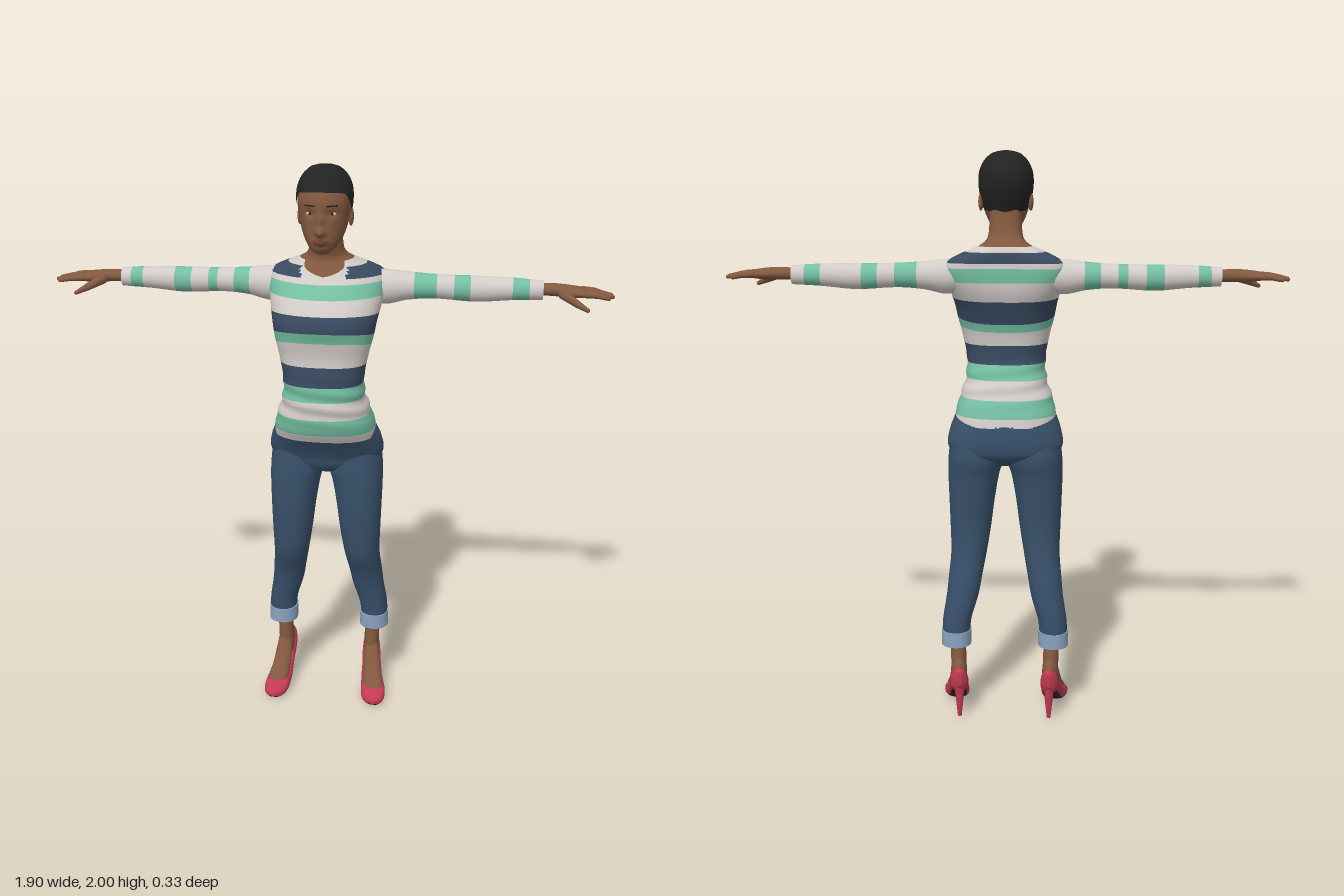
import * as THREE from 'three';

const COLORS = {
  skin: 0x83593f, lips: 0x6b4036, hair: 0x232323, knitWhite: 0xd2ccc8, knitMint: 0x74bfa3,
  knitNavy: 0x3a4a61, denim: 0x38506a, cuffBlue: 0x8aa5c0, shoeRed: 0xc23a52, soleBlack: 0x2a2a2c,
};
const M = {};
for (const [name, color] of Object.entries(COLORS)) {
  M[name] = new THREE.MeshStandardMaterial({ color });
  M[name].name = name;
}
const gauss = (d, s) => Math.exp(-((d / s) ** 2));

// Smooth interpolation of cross-section keys [t, centre, radius, low, high]
function sectionAt(keys, t) {
  const n = keys.length - 1;
  t = Math.min(Math.max(t, keys[0][0]), keys[n][0]);
  let i = 0;
  while (i < n - 1 && t > keys[i + 1][0]) i++;
  const slope = (k, j) => {
    const a = keys[Math.max(k - 1, 0)], b = keys[Math.min(k + 1, n)];
    return (b[j] - a[j]) / (b[0] - a[0]);
  };
  const h = keys[i + 1][0] - keys[i][0], u = (t - keys[i][0]) / h;
  return [1, 2, 3, 4].map((j) => {
    const p = keys[i][j], q = keys[i + 1][j];
    return p + (q - p) * u * u * (3 - 2 * u) + h * u * (1 - u) * ((1 - u) * slope(i, j) - u * slope(i + 1, j));
  });
}

// Loft of superellipse sections along an axis; color(t, x, y, z, angle) picks each face's material
function loft(name, keys, color, o = {}) {
  const { axis = 'y', segs = 40, p = 1, step = 0.02, edges = [], side = 1, grow = 0, remap, warp } = o;
  const t0 = o.from ?? keys[0][0], t1 = o.to ?? keys[keys.length - 1][0];
  const rows = [t0, t1, ...edges, ...(o.rows ?? [])];
  for (let t = t0 + step; t < t1 - step * 0.3; t += step) {
    if (!edges.some((e) => Math.abs(e - t) < step * 0.3)) rows.push(t);
  }
  rows.sort((a, b) => a - b);
  const pw = (v) => Math.sign(v) * Math.abs(v) ** p;
  const pos = [];
  const point = (row, j) => {
    const a = (j / segs) * Math.PI * 2;
    const t = remap ? remap(a, row) : row;
    const [c, r, lo, hi] = sectionAt(keys, t);
    const u = c + (r + grow) * pw(Math.cos(a));
    const v = (lo + hi) / 2 + ((hi - lo) / 2 + grow) * pw(Math.sin(a));
    const q = axis === 'y' ? [u, t, v] : axis === 'x' ? [t, v, u] : [u, v, t];
    if (warp) warp(q, a);
    q[0] *= side;
    return q;
  };
  for (const row of rows) for (let j = 0; j < segs; j++) pos.push(...point(row, j));
  const flip = (axis !== 'z') !== (side < 0);
  const buckets = {};
  const tri = (m, a, b, c) => (buckets[m] ??= []).push(...(flip ? [a, c, b] : [a, b, c]));
  const pick = (i, j) => {
    if (typeof color === 'string') return color;
    const t = (rows[i] + rows[i + 1]) / 2;
    return color(t, ...point(t, j + 0.5), ((j + 0.5) / segs) * Math.PI * 2);
  };
  for (let i = 0; i < rows.length - 1; i++) for (let j = 0; j < segs; j++) {
    const k = (j + 1) % segs, a = i * segs + j, b = i * segs + k, m = pick(i, j);
    tri(m, a, b, b + segs);
    tri(m, a, b + segs, a + segs);
  }
  // flat end caps
  if (!remap) for (const i of [0, rows.length - 1]) {
    const base = pos.length / 3, mid = [0, 0, 0], m = pick(i ? i - 1 : 0, 0);
    for (let j = 0; j < segs; j++) {
      const q = point(rows[i], j);
      pos.push(...q);
      q.forEach((v, k) => { mid[k] += v / segs; });
    }
    pos.push(...mid);
    for (let j = 0; j < segs; j++) {
      const a = base + j, b = base + ((j + 1) % segs);
      if (i) tri(m, a, b, base + segs); else tri(m, b, a, base + segs);
    }
  }
  const g = new THREE.BufferGeometry(), index = [], mats = [];
  for (const [m, list] of Object.entries(buckets)) {
    g.addGroup(index.length, list.length, mats.length);
    mats.push(M[m]);
    for (const v of list) index.push(v);
  }
  g.setAttribute('position', new THREE.Float32BufferAttribute(pos, 3));
  g.setIndex(index);
  g.computeVertexNormals();
  const mesh = new THREE.Mesh(g, mats.length === 1 ? mats[0] : mats);
  mesh.name = name;
  return mesh;
}

// Tapered rounded rod between two points
function rod(name, a, b, r0, r1, mat) {
  const A = new THREE.Vector3(...a), d = new THREE.Vector3(...b).sub(A), len = d.length();
  const g = new THREE.CapsuleGeometry(1, 1, 5, 12);
  const P = g.attributes.position;
  for (let i = 0; i < P.count; i++) {
    const y = P.getY(i), r = y > 0 ? r1 : r0;
    P.setXYZ(i, P.getX(i) * r, y > 0 ? len + (y - 0.5) * r : (y + 0.5) * r, P.getZ(i) * r);
  }
  g.computeVertexNormals();
  const mesh = new THREE.Mesh(g, mat);
  mesh.quaternion.setFromUnitVectors(new THREE.Vector3(0, 1, 0), d.normalize());
  mesh.position.copy(A);
  mesh.name = name;
  return mesh;
}

function blob(name, x, y, z, sx, sy, sz, mat) {
  const mesh = new THREE.Mesh(new THREE.SphereGeometry(1, 20, 14), mat);
  mesh.position.set(x, y, z);
  mesh.scale.set(sx, sy, sz);
  mesh.name = name;
  return mesh;
}

const TORSO = [
  [1.08, 0, .178, -.145, .118], [1.12, 0, .174, -.135, .14], [1.17, 0, .16, -.115, .15], [1.23, 0, .141, -.09, .152],
  [1.3, 0, .138, -.064, .15], [1.38, 0, .152, -.067, .143], [1.44, 0, .167, -.082, .152], [1.49, 0, .176, -.1, .165],
  [1.54, 0, .188, -.117, .145], [1.6, 0, .2, -.122, .1], [1.64, 0, .193, -.12, .066], [1.665, 0, .15, -.118, .05],
  [1.685, 0, .1, -.112, .038], [1.705, 0, .07, -.095, .036], [1.73, 0, .06, -.08, .045], [1.79, 0, .057, -.065, .045],
  [1.84, 0, .055, -.06, .04]];
const HEAD = [
  [1.725, 0, .02, .04, .1], [1.735, 0, .036, .02, .114], [1.755, 0, .053, -.02, .122], [1.78, 0, .066, -.045, .122],
  [1.81, 0, .076, -.06, .12], [1.85, 0, .084, -.077, .119], [1.89, 0, .089, -.088, .12], [1.93, 0, .086, -.087, .108],
  [1.96, 0, .073, -.072, .086], [1.98, 0, .054, -.05, .062], [1.992, 0, .032, -.026, .037], [1.997, 0, .001, .004, .006]];
const LEG = [
  [.3, .175, .05, -.148, -.04], [.36, .172, .051, -.149, -.035], [.45, .152, .057, -.14, -.02], [.52, .142, .06, -.128, 0],
  [.6, .131, .064, -.112, .035], [.7, .124, .073, -.106, .05], [.8, .119, .081, -.115, .058], [.9, .111, .091, -.127, .06],
  [.96, .1, .1, -.14, .058], [1.04, .1, .09, -.13, .05]];
const HIPS = [
  [.925, 0, .02, -.06, 0], [.94, 0, .07, -.1, .035], [.97, 0, .17, -.14, .055], [1, 0, .2, -.15, .063],
  [1.05, 0, .196, -.15, .09], [1.1, 0, .178, -.139, .12], [1.15, 0, .155, -.11, .135]];
const SLEEVE = [
  [.13, -.06, .05, 1.54, 1.65], [.2, -.062, .056, 1.53, 1.648], [.27, -.068, .048, 1.545, 1.64], [.36, -.07, .042, 1.552, 1.634],
  [.5, -.072, .041, 1.545, 1.632], [.62, -.07, .036, 1.555, 1.63], [.72, -.068, .031, 1.56, 1.624]];
const HAND = [
  [.7, -.068, .024, 1.575, 1.615], [.76, -.064, .026, 1.575, 1.617], [.8, -.057, .037, 1.573, 1.615],
  [.85, -.052, .045, 1.578, 1.608], [.87, -.052, .04, 1.583, 1.603]];
const ANKLE = [[.12, .166, .028, -.145, -.055], [.2, .167, .028, -.135, -.063], [.27, .169, .028, -.122, -.066], [.33, .17, .032, -.125, -.065]];
const FOOT = [
  [-.155, .163, .008, .13, .19], [-.13, .165, .027, .12, .22], [-.07, .169, .029, .1, .19], [-.03, .176, .033, .05, .122],
  [.01, .184, .035, .03, .078], [.035, .187, .02, .03, .046]];
const SHOE = [
  [-.168, .16, .008, .13, .18], [-.155, .162, .026, .105, .192], [-.12, .165, .034, .085, .165], [-.08, .17, .036, .06, .12],
  [-.04, .175, .04, .025, .085], [0, .183, .045, 0, .065], [.04, .187, .044, 0, .046], [.07, .19, .03, 0, .035], [.08, .192, .006, .008, .022]];

const CHEST_BANDS = [[1.11, 1.17, 'knitMint'], [1.233, 1.286, 'knitMint'], [1.286, 1.355, 'knitNavy'], [1.44, 1.476, 'knitMint'],
  [1.476, 1.53, 'knitNavy'], [1.577, 1.62, 'knitMint'], [1.637, 1.672, 'knitNavy']];
const SLEEVE_BANDS = {
  1: [[.294, .369], [.427, .481], [.62, .675]],
  '-1': [[.266, .32], [.378, .41], [.471, .53], [.643, .685]],
};

// shoulders drawn back, soft folds at the waist
const torsoWarp = (q, a) => {
  const k = THREE.MathUtils.smoothstep(q[1], 1.4, 1.6);
  q[2] -= 0.05 * k * (q[0] / 0.2) ** 2;
  const fold = 0.004 * gauss(q[1] - 1.22, 0.07) * Math.sin(q[1] * 110 + 2 * Math.cos(a));
  q[0] += fold * Math.cos(a);
  q[2] += fold * Math.sin(a);
};
// face relief: nose, bridge, lips, chin, eye sockets
const faceRelief = (x, y) => 0.034 * gauss(x, .013) * gauss(y - 1.8, .012) + 0.012 * gauss(x, .01) * gauss(y - 1.835, .022)
  + 0.012 * gauss(x, .021) * gauss(y - 1.768, .011) + 0.004 * gauss(x, .02) * gauss(y - 1.745, .01)
  - 0.008 * gauss(Math.abs(x) - .036, .016) * gauss(y - 1.857, .011);
const faceZ = (x, y) => {
  const [, r, lo, hi] = sectionAt(HEAD, y);
  return (lo + hi) / 2 + ((hi - lo) / 2) * Math.sqrt(1 - (x / r) ** 2) + faceRelief(x, y);
};
// hairline height from nape (-1) to forehead (1)
const HAIRLINE = [[-1, 1.8], [-.5, 1.805], [-.2, 1.82], [.05, 1.85], [.35, 1.885], [.6, 1.918], [1.01, 1.925]];
const hairline = (a) => {
  const s = Math.sin(a), i = Math.max(1, HAIRLINE.findIndex((k) => k[0] >= s));
  const [p, q] = [HAIRLINE[i - 1], HAIRLINE[i]];
  return THREE.MathUtils.mapLinear(s, p[0], q[0], p[1], q[1]);
};

export function createModel() {
  const model = new THREE.Group();
  model.name = 'woman';

  // Sweater body with neckline and stripes
  model.add(loft('sweaterBody', TORSO, (t, x, y, z, a) => {
    const band = CHEST_BANDS.find((b) => t > b[0] && t < b[1]);
    if (!band || (t > 1.63 && Math.sin(a) > 0 && Math.abs(x) < 0.075)) return 'knitWhite';
    return band[2];
  }, {
    segs: 80, p: .8, step: .01, to: 1.69, edges: CHEST_BANDS.flatMap((b) => [b[0], b[1]]), warp: torsoWarp,
    remap: (a, y) => {
      const top = Math.sin(a) > 0 ? 1.642 + .048 * Math.min(1, Math.abs(Math.cos(a)) * 1.5) : 1.69;
      return Math.min(top, y - .025 * (1 - Math.sin(a)) * gauss(y - 1.47, .07));
    },
  }));
  model.add(loft('neck', TORSO, 'skin', { segs: 60, p: .8, step: .01, from: 1.6, grow: -.003, warp: torsoWarp }));

  // Head, hair and face
  const topRows = [1.985, 1.989, 1.994, 1.996];
  model.add(loft('head', HEAD, (t, x, y, z) => {
    if (z < .05) return 'skin';
    if ((x / .025) ** 2 + ((y - 1.768) / .011) ** 2 < 1) return 'lips';
    return Math.abs(y - 1.882) < .004 && Math.abs(Math.abs(x) - .037) < .019 ? 'hair' : 'skin';
  }, { segs: 96, step: .005, rows: topRows, warp: (q, a) => { if (Math.sin(a) > 0) q[2] += faceRelief(q[0], q[1]) * Math.min(1, Math.sin(a) * 2); } }));
  model.add(loft('hair', HEAD, 'hair', {
    segs: 72, step: .008, from: 1.795, grow: .004, rows: topRows, remap: (a, y) => Math.max(y, hairline(a)),
    warp: (q) => { q[1] += .003 * THREE.MathUtils.smoothstep(q[1], 1.93, 1.997); },
  }));

  // Hips
  model.add(loft('trouserHips', HIPS, 'denim', { segs: 60, p: .85, step: .01 }));

  for (const side of [1, -1]) {
    const L = side > 0 ? 'left' : 'right';
    // Eyes and ears
    const ez = faceZ(.036, 1.857);
    model.add(blob(L + 'Eye', side * .036, 1.857, ez, .013, .005, .003, M.knitWhite));
    model.add(blob(L + 'Iris', side * .036, 1.857, ez + .001, .005, .005, .003, M.hair));
    model.add(blob(L + 'Ear', side * .084, 1.832, -.002, .009, .03, .018, M.skin));

    // Arm, hand and fingers
    const bands = SLEEVE_BANDS[side];
    model.add(loft(L + 'Sleeve', SLEEVE, (t) => (bands.some((b) => t > b[0] && t < b[1]) ? 'knitMint' : 'knitWhite'),
      { axis: 'x', segs: 32, side, edges: bands.flat() }));
    const hand = new THREE.Group();
    hand.name = L + 'Hand';
    hand.add(loft('palm', HAND, 'skin', { axis: 'x', segs: 28, step: .01, side }));
    [[-.088, .918, -.094], [-.064, .942, -.068], [-.04, .945, -.038], [-.017, .93, -.01]].forEach(([z, x, tipZ]) => {
      const mid = [side * (.855 + x) / 2, 1.592, (z + tipZ) / 2];
      hand.add(rod('fingerBase', [side * .85, 1.594, z], mid, .0115, .0095, M.skin));
      hand.add(rod('fingerTip', mid, [side * x, 1.584, tipZ], .0095, .0065, M.skin));
    });
    hand.add(rod('thumbBase', [side * .785, 1.588, -.035], [side * .83, 1.567, .008], .017, .012, M.skin));
    hand.add(rod('thumbTip', [side * .83, 1.567, .008], [side * .862, 1.552, .026], .012, .007, M.skin));
    model.add(hand);

    // Trouser leg and turned-up cuff
    model.add(loft(L + 'TrouserLeg', LEG, 'denim', { segs: 40, p: .92, side }));
    model.add(loft(L + 'Cuff', [[.268, .175, .054, -.15, -.036], [.325, .174, .054, -.152, -.034]], 'cuffBlue', { segs: 40, p: .92, side }));

    // Ankle, foot and high-heeled shoe
    model.add(loft(L + 'Ankle', ANKLE, 'skin', { segs: 28, side }));
    model.add(loft(L + 'Foot', FOOT, 'skin', { axis: 'z', segs: 28, step: .01, side }));
    model.add(loft(L + 'Shoe', SHOE, (t, x, y, z, a) => (Math.sin(a) < -.75 && t > -.12 ? 'soleBlack' : 'shoeRed'),
      { axis: 'z', segs: 40, p: .8, step: .008, side }));
    const heel = new THREE.Mesh(new THREE.CylinderGeometry(.02, .007, .13, 16), M.shoeRed);
    heel.position.set(side * .162, .065, -.144);
    heel.name = L + 'Heel';
    model.add(heel);
  }
  return model;
}
